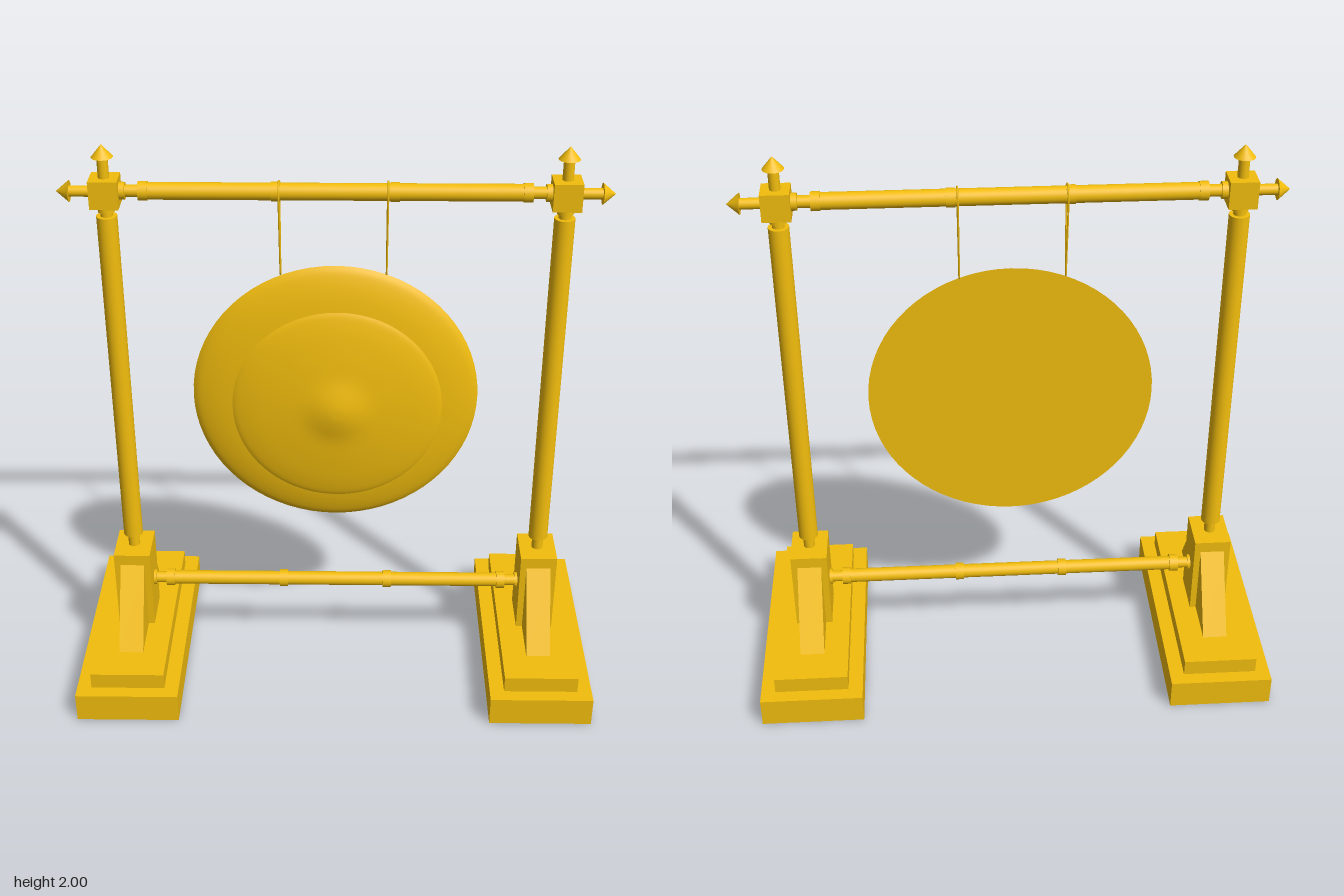
import * as THREE from 'three';

const gold = new THREE.MeshStandardMaterial({ color: 0xf2bd0d });
const V2 = (p) => new THREE.Vector2(p[0], p[1]);

function add(parent, name, geometry, x = 0, y = 0, z = 0) {
  const mesh = new THREE.Mesh(geometry, gold);
  mesh.name = name;
  mesh.position.set(x, y, z);
  parent.add(mesh);
  return mesh;
}

const box = (parent, name, w, h, d, x, y, z = 0) =>
  add(parent, name, new THREE.BoxGeometry(w, h, d), x, y, z);

// upright cylinder between two heights
const rod = (parent, name, r, y0, y1) =>
  add(parent, name, new THREE.CylinderGeometry(r, r, y1 - y0, 32), 0, (y0 + y1) / 2, 0);

// pointed finial on a short stem, starting at its own origin
function finial(name) {
  const g = new THREE.Group();
  g.name = name;
  rod(g, 'finialStem', 0.018, 0, 0.07);
  add(g, 'finialTip', new THREE.ConeGeometry(0.035, 0.042, 24), 0, 0.089, 0);
  return g;
}

// horizontal bar along x with thin ends and raised bands
function crossbar(name, y, r, half, end, band) {
  const g = new THREE.Group();
  g.name = name;
  rod(g, 'barCore', 0.02, -end, end);
  rod(g, 'barSleeve', r, -half, half);
  for (const c of [-half + 0.012, -0.19, 0.19, half - 0.012])
    rod(g, 'barBand', band, c - 0.015, c + 0.015);
  for (const s of [-1, 1]) rod(g, 'barCollar', 0.028, s * (end - 0.01) - 0.01, s * (end - 0.01) + 0.01);
  g.rotation.z = -Math.PI / 2;
  g.position.y = y;
  return g;
}

// one foot, post and corner joint, built around x = 0; side points outwards
function stand(side) {
  const g = new THREE.Group();
  g.name = side > 0 ? 'leftStand' : 'rightStand';
  box(g, 'footLower', 0.362, 0.107, 0.845, 0, 0.0535);
  box(g, 'footUpper', 0.26, 0.06, 0.75, 0, 0.136);
  box(g, 'postBlock', 0.13, 0.306, 0.16, 0, 0.319);

  // sloping braces in front of and behind the block
  const tri = new THREE.Shape([[0.08, 0.166], [0.25, 0.166], [0.08, 0.43]].map(V2));
  const braceGeo = new THREE.ExtrudeGeometry(tri, { depth: 0.086, bevelEnabled: false });
  braceGeo.translate(0, 0, -0.043);
  for (const s of [-1, 1]) add(g, s > 0 ? 'backBrace' : 'frontBrace', braceGeo).rotation.y = s * Math.PI / 2;

  rod(g, 'postCore', 0.02, 0.46, 1.81);
  rod(g, 'post', 0.034, 0.52, 1.76);
  rod(g, 'postCollar', 0.027, 1.775, 1.797);

  // corner cube with two finials
  box(g, 'cornerCube', 0.093, 0.093, 0.09, 0, 1.843);
  const top = finial('topFinial');
  top.position.y = 1.89;
  const out = finial('sideFinial');
  out.position.set(side * 0.046, 1.843, 0);
  out.rotation.z = -side * Math.PI / 2;
  g.add(top, out);
  g.position.x = side * 0.735;
  return g;
}

// disc with a flat back and a curved face towards +z
function dish(parent, name, profile, x, z) {
  const face = new THREE.SplineCurve(profile.map(V2)).getPoints(30);
  const r = profile[0][0];
  const m = add(parent, name, new THREE.LatheGeometry(face, 72), x, 1.1, z);
  m.rotation.x = Math.PI / 2;
  const back = add(parent, name + 'Back', new THREE.CircleGeometry(r, 72), x, 1.1, z);
  back.rotation.y = Math.PI;
}

export function createModel() {
  const model = new THREE.Group();
  model.name = 'gongOnStand';
  model.add(stand(-1), stand(1));
  model.add(crossbar('topBar', 1.845, 0.028, 0.625, 0.69, 0.031));
  model.add(crossbar('lowerBar', 0.32, 0.025, 0.62, 0.68, 0.031));

  // broad gong plate and the raised boss plate in front of it
  const gong = new THREE.Group();
  gong.name = 'gong';
  dish(gong, 'gongPlate',
    [[0.487, 0], [0.465, 0.014], [0.42, 0.028], [0.36, 0.039], [0.25, 0.051], [0.12, 0.059], [0, 0.062]], 0, 0);
  dish(gong, 'gongBoss',
    [[0.355, 0], [0.335, 0.008], [0.28, 0.02], [0.2, 0.031], [0.12, 0.04], [0.06, 0.053], [0.025, 0.059], [0, 0.06]],
    0.007, 0.078);
  model.add(gong);

  // cord loops over the top bar down to the rim of the gong
  const loop = [[0, 1.555], [0.014, 1.65], [0.029, 1.77], [0.034, 1.845], [0.024, 1.87], [0, 1.879],
    [-0.024, 1.87], [-0.034, 1.845], [-0.029, 1.77], [-0.014, 1.65]];
  for (const x of [-0.18, 0.168]) {
    const path = new THREE.CatmullRomCurve3(loop.map(([z, y]) => new THREE.Vector3(x, y, z)), true);
    add(model, 'cord', new THREE.TubeGeometry(path, 64, 0.003, 6, true));
  }
  return model;
}
